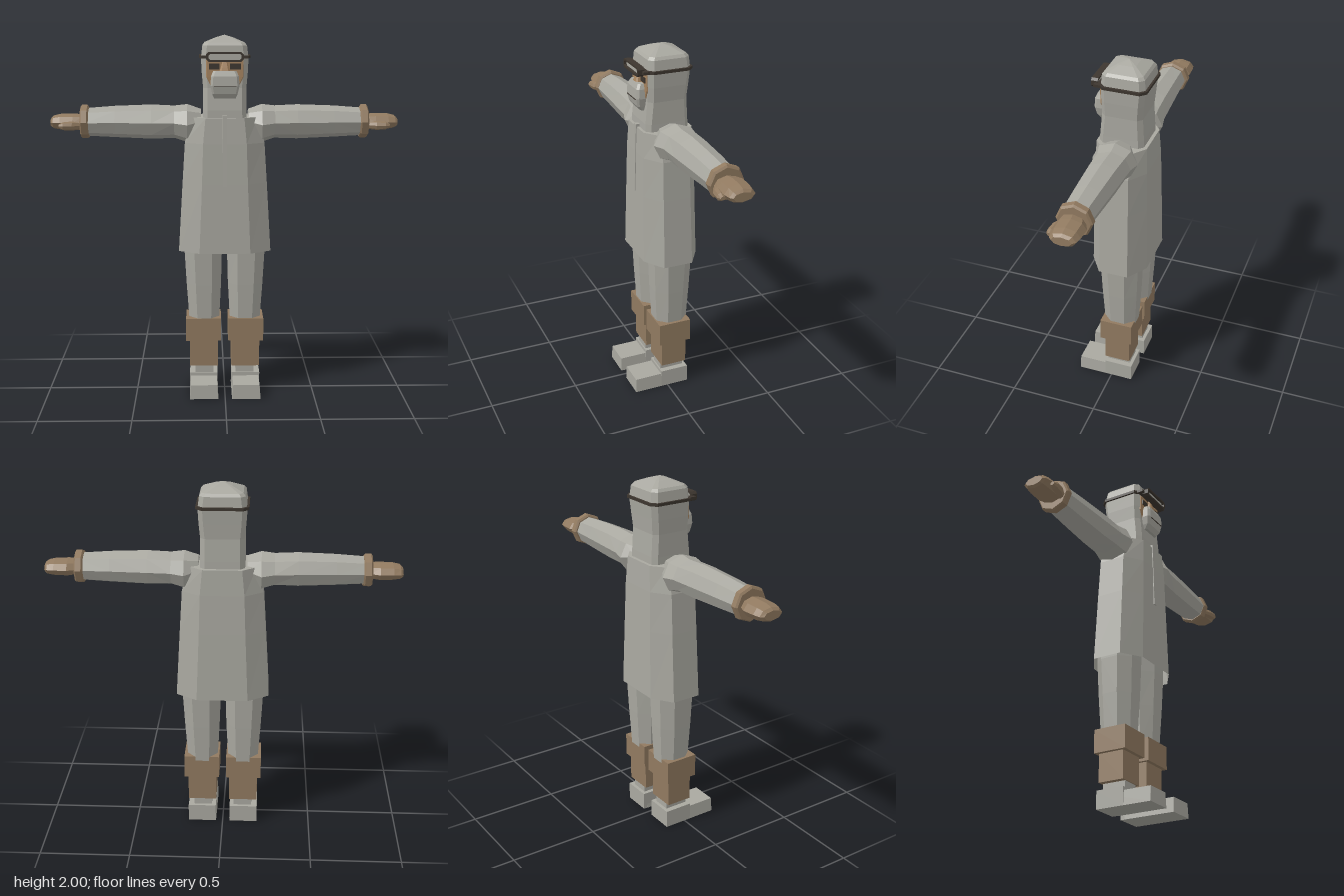
import * as THREE from 'three';

const material = (name, color) => {
  const m = new THREE.MeshStandardMaterial({ color, flatShading: true, side: THREE.DoubleSide });
  m.name = name;
  return m;
};

// Joins cross-section rings into a faceted skin; rings turn counterclockwise about the direction of travel
function loft(rings, capStart = true, capEnd = true) {
  const pos = [];
  const tri = (a, b, c) => pos.push(...a, ...b, ...c);
  const n = rings[0].length;
  for (let k = 0; k < rings.length - 1; k++) {
    for (let i = 0; i < n; i++) {
      const j = (i + 1) % n;
      tri(rings[k][i], rings[k][j], rings[k + 1][j]);
      tri(rings[k][i], rings[k + 1][j], rings[k + 1][i]);
    }
  }
  const first = rings[0], last = rings[rings.length - 1];
  for (let i = 1; i < n - 1; i++) {
    if (capStart) tri(first[0], first[i + 1], first[i]);
    if (capEnd) tri(last[0], last[i], last[i + 1]);
  }
  const g = new THREE.BufferGeometry();
  g.setAttribute('position', new THREE.Float32BufferAttribute(pos, 3));
  g.computeVertexNormals();
  return g;
}

// Chamfered rectangle at height y: half width, back z, front z, chamfer in x and z
function block(y, w, z0, z1, cx, cz = cx) {
  return [[w - cx, y, z1], [w, y, z1 - cz], [w, y, z0 + cz], [w - cx, y, z0],
    [cx - w, y, z0], [-w, y, z0 + cz], [-w, y, z1 - cz], [cx - w, y, z1]];
}

// Octagon across the arm at x, spanning y0..y1 and z0..z1
function armRing(x, y0, y1, z0, z1) {
  return Array.from({ length: 8 }, (_, i) => {
    const a = (i * Math.PI) / 4;
    return [x, (y0 + y1) / 2 + (Math.cos(a) * (y1 - y0)) / 2, (z0 + z1) / 2 + (Math.sin(a) * (z1 - z0)) / 2];
  });
}

function boxSpan(x0, x1, y0, y1, z0, z1) {
  return new THREE.BoxGeometry(x1 - x0, y1 - y0, z1 - z0)
    .translate((x0 + x1) / 2, (y0 + y1) / 2, (z0 + z1) / 2);
}

// Mirrored copy across x = 0 with the corner order restored
function mirrored(geometry) {
  const g = geometry.index ? geometry.toNonIndexed() : geometry.clone();
  const p = g.attributes.position;
  for (let i = 0; i < p.count; i += 3) {
    const v = [0, 2, 1].map(k => [-p.getX(i + k), p.getY(i + k), p.getZ(i + k)]);
    v.forEach((c, k) => p.setXYZ(i + k, ...c));
  }
  g.computeVertexNormals();
  return g;
}

export function createModel() {
  const model = new THREE.Group();
  model.name = 'figure';
  const cloth = material('greyCloth', 0xa9a8a0);
  const brown = material('brownLeather', 0x917a60);
  const skin = material('skin', 0xa5835f);
  const dark = material('darkRubber', 0x3d362f);

  const add = (name, geometry, mat) => {
    const mesh = new THREE.Mesh(geometry, mat);
    mesh.name = name;
    model.add(mesh);
    return mesh;
  };
  const pair = (name, geometry, mat) => {
    add('left' + name, geometry, mat);
    add('right' + name, mirrored(geometry), mat);
  };

  // Long coat, open at the hem, with a front placket
  add('coat', loft([
    block(0.815, 0.255, -0.192, 0.122, 0.115, 0.075),
    block(1.2, 0.232, -0.184, 0.116, 0.107, 0.072),
    block(1.42, 0.218, -0.178, 0.112, 0.1, 0.07),
    block(1.56, 0.18, -0.17, 0.106, 0.075, 0.06),
  ], false, true), cloth);
  add('placket', loft([
    block(1.19, 0.012, 0.1, 0.122, 0.001),
    block(1.575, 0.012, 0.09, 0.112, 0.001),
  ]), cloth);

  // Hood with a low pointed crown
  add('hood', loft([
    block(1.53, 0.12, -0.152, 0.092, 0.025),
    block(1.6, 0.118, -0.15, 0.09, 0.025),
    block(1.72, 0.117, -0.143, 0.078, 0.025),
    block(1.8, 0.124, -0.15, 0.08, 0.025),
    block(1.88, 0.128, -0.158, 0.08, 0.025),
    block(1.945, 0.12, -0.152, 0.076, 0.025),
    block(1.96, 0.108, -0.14, 0.064, 0.022),
    block(1.985, 0.05, -0.085, 0.012, 0.012),
    block(2.0, 0.003, -0.039, -0.033, 0.001),
  ]), cloth);

  // Face showing between hood and beard
  add('face', loft([
    block(1.72, 0.07, 0.06, 0.084, 0.004),
    block(1.78, 0.1, 0.06, 0.086, 0.004),
    block(1.87, 0.1, 0.06, 0.086, 0.004),
  ]), skin);
  add('nose', loft([
    block(1.795, 0.034, 0.07, 0.118, 0.012),
    block(1.83, 0.022, 0.07, 0.108, 0.008),
    block(1.885, 0.006, 0.07, 0.09, 0.002),
  ]), skin);
  pair('Eye', boxSpan(0.028, 0.085, 1.82, 1.85, 0.084, 0.09), dark);
  add('beard', loft([
    block(1.665, 0.058, 0.07, 0.1, 0.01),
    block(1.69, 0.068, 0.07, 0.12, 0.01),
    block(1.735, 0.078, 0.07, 0.13, 0.012),
    block(1.785, 0.074, 0.07, 0.127, 0.012),
    block(1.812, 0.062, 0.07, 0.115, 0.012),
  ]), cloth);
  add('mouthLine', boxSpan(-0.06, 0.06, 1.728, 1.732, 0.124, 0.132), dark);

  // Goggle strap: a hollow band around the hood
  add('strap', loft([
    block(1.878, 0.126, -0.156, 0.078, 0.026),
    block(1.878, 0.139, -0.168, 0.092, 0.03),
    block(1.893, 0.139, -0.168, 0.092, 0.03),
    block(1.893, 0.126, -0.156, 0.078, 0.026),
  ], false, false), dark);

  // Goggle frame and lens
  const outline = (w, h, c, path) => {
    [[w - c, -h], [w, c - h], [w, h - c], [w - c, h], [c - w, h], [-w, h - c], [-w, c - h], [c - w, -h]]
      .forEach(([x, y], i) => (i ? path.lineTo(x, y) : path.moveTo(x, y)));
    path.closePath();
    return path;
  };
  const frame = outline(0.1, 0.025, 0.012, new THREE.Shape());
  frame.holes.push(outline(0.088, 0.015, 0.008, new THREE.Path()));
  const goggles = new THREE.ExtrudeGeometry(frame, { depth: 0.036, bevelEnabled: false });
  add('goggleFrame', goggles.translate(0, 1.887, 0.098), dark);
  add('goggleLens', boxSpan(-0.09, 0.09, 1.871, 1.903, 0.112, 0.12), cloth);
  pair('StrapClip', boxSpan(0.09, 0.125, 1.878, 1.893, 0.075, 0.112), dark);

  // Sleeves, cuffs and mittens
  pair('Sleeve', loft([
    armRing(0.13, 1.47, 1.6, -0.11, 0.05),
    armRing(0.205, 1.415, 1.625, -0.155, 0.09),
    armRing(0.275, 1.438, 1.617, -0.142, 0.068),
    armRing(0.4, 1.434, 1.623, -0.136, 0.062),
    armRing(0.6, 1.443, 1.616, -0.126, 0.052),
    armRing(0.76, 1.452, 1.604, -0.116, 0.045),
  ]), cloth);
  pair('Cuff', loft([
    armRing(0.744, 1.445, 1.61, -0.125, 0.047),
    armRing(0.752, 1.438, 1.622, -0.134, 0.056),
    armRing(0.782, 1.438, 1.622, -0.134, 0.056),
    armRing(0.79, 1.445, 1.61, -0.125, 0.047),
  ]), brown);
  pair('Mitten', loft([
    armRing(0.78, 1.485, 1.57, -0.1, 0.03),
    armRing(0.83, 1.482, 1.574, -0.122, 0.035),
    armRing(0.9, 1.485, 1.572, -0.12, 0.032),
    armRing(0.938, 1.492, 1.563, -0.112, 0.024),
    armRing(0.952, 1.502, 1.55, -0.095, 0.01),
  ]), brown);
  pair('Thumb', loft([
    armRing(0.79, 1.492, 1.535, -0.01, 0.035),
    armRing(0.83, 1.487, 1.537, 0.005, 0.055),
    armRing(0.88, 1.49, 1.533, 0.015, 0.06),
    armRing(0.902, 1.502, 1.522, 0.025, 0.05),
  ]), brown);

  // Trousers, gaiters and boots
  const shift = (ring, dx) => ring.map(([x, y, z]) => [x + dx, y, z]);
  pair('TrouserLeg', loft([
    shift(block(0.4, 0.084, -0.13, 0.05, 0.046, 0.05), 0.115),
    shift(block(0.62, 0.097, -0.142, 0.062, 0.052, 0.058), 0.117),
    shift(block(0.82, 0.105, -0.15, 0.07, 0.056, 0.06), 0.12),
    shift(block(1.0, 0.106, -0.152, 0.072, 0.056, 0.06), 0.12),
  ]), cloth);
  pair('KneeGuard', boxSpan(0.02, 0.218, 0.295, 0.425, -0.13, 0.058), brown);
  pair('Gaiter', boxSpan(0.038, 0.197, 0.14, 0.3, -0.112, 0.036), brown);
  pair('Ankle', boxSpan(0.063, 0.166, 0.09, 0.15, -0.105, 0.03), cloth);
  pair('BootHeel', boxSpan(0.04, 0.198, 0, 0.1, -0.124, 0.038), cloth);
  pair('BootToe', loft([
    shift(block(0, 0.08, -0.1, 0.197, 0.001), 0.118),
    shift(block(0.081, 0.074, -0.1, 0.195, 0.001), 0.118),
  ]), cloth);

  return model;
}
